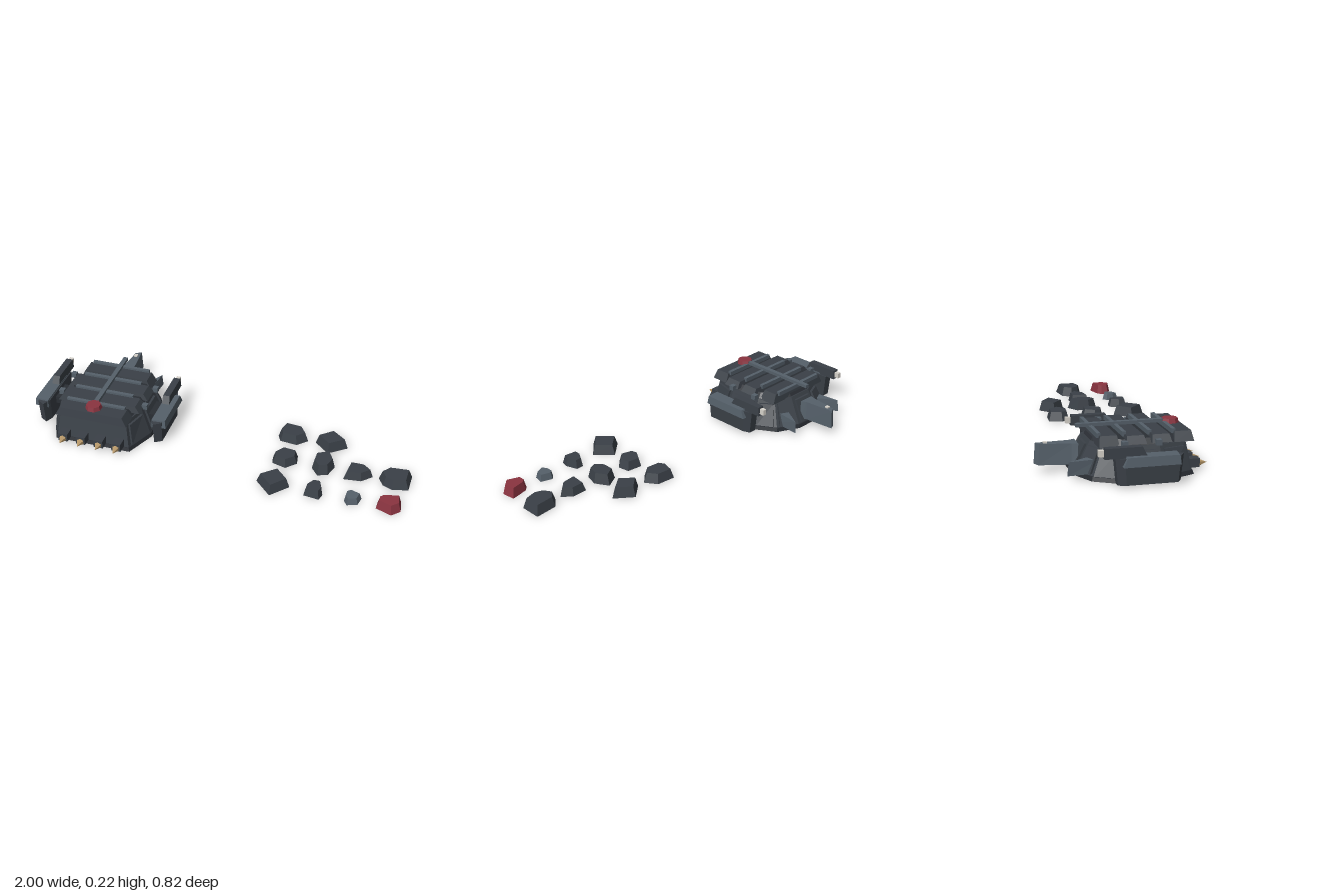
import * as THREE from 'three';

const mat = (color) => new THREE.MeshStandardMaterial({ color, flatShading: true });
const dark = mat(0x3a4047), deep = mat(0x2a2e34), steel = mat(0x55606a);
const red = mat(0x8a3440), tan = mat(0xb89868), pale = mat(0xd8d4cc);

// Closed faceted solid between two horizontal rings of [x, z] points
function loft(low, high, y0, y1) {
  const area = low.reduce((s, p, i) => {
    const q = low[(i + 1) % low.length];
    return s + p[0] * q[1] - q[0] * p[1];
  }, 0);
  if (area < 0) { low = [...low].reverse(); high = [...high].reverse(); }
  const v = [], n = low.length;
  const B = (i) => [low[i % n][0], y0, low[i % n][1]];
  const T = (i) => [high[i % n][0], y1, high[i % n][1]];
  const tri = (...p) => p.forEach((c) => v.push(...c));
  for (let i = 0; i < n; i++) {
    tri(B(i), T(i), B(i + 1));
    tri(B(i + 1), T(i), T(i + 1));
    if (i > 0 && i < n - 1) {
      tri(T(0), T(i + 1), T(i));
      tri(B(0), B(i), B(i + 1));
    }
  }
  const g = new THREE.BufferGeometry();
  g.setAttribute('position', new THREE.Float32BufferAttribute(v, 3));
  g.computeVertexNormals();
  return g;
}

const rect = (w, d, x = 0, z = 0) =>
  [[x - w / 2, z - d / 2], [x + w / 2, z - d / 2], [x + w / 2, z + d / 2], [x - w / 2, z + d / 2]];
const scaled = (pts, s) => {
  const cx = pts.reduce((a, p) => a + p[0], 0) / pts.length;
  const cz = pts.reduce((a, p) => a + p[1], 0) / pts.length;
  return pts.map(([x, z]) => [cx + (x - cx) * s, cz + (z - cz) * s]);
};

function add(parent, name, geo, material, x = 0, y = 0, z = 0) {
  const m = new THREE.Mesh(geo, material);
  m.name = name;
  m.position.set(x, y, z);
  parent.add(m);
  return m;
}
const box = (p, name, m, w, h, d, x, y, z) => add(p, name, new THREE.BoxGeometry(w, h, d), m, x, y, z);

function buildMachine() {
  const g = new THREE.Group();
  g.name = 'machine';
  const mirror = (half) => [...half, ...[...half].reverse().map(([x, z]) => [-x, z])];

  // Tapered hull with skirt and upper deck
  const base = mirror([[0.2, 0.285], [0.265, 0.13], [0.265, -0.08], [0.2, -0.19], [0.08, -0.245]]);
  const roof = mirror([[0.18, 0.255], [0.215, 0.12], [0.215, -0.06], [0.16, -0.13], [0.07, -0.17]]);
  add(g, 'hull', loft(base, roof, 0.005, 0.155), dark);
  add(g, 'skirt', loft(scaled(base, 1.02), scaled(base, 1.0), 0, 0.02), deep);
  add(g, 'upperDeck', loft(scaled(roof, 0.97), scaled(roof, 0.86), 0.155, 0.182), deep);

  // Raised armour plate on every wall except the front
  const mix = (a, b, t) => [a[0] + (b[0] - a[0]) * t, a[1] + (b[1] - a[1]) * t];
  for (let i = 0; i < base.length - 1; i++) {
    const ring = (t) => {
      const p = mix(base[i], roof[i], t), q = mix(base[i + 1], roof[i + 1], t);
      const a = mix(p, q, 0.12), b = mix(p, q, 0.88);
      const l = Math.hypot(q[0] - p[0], q[1] - p[1]);
      let nx = (q[1] - p[1]) / l, nz = -(q[0] - p[0]) / l;
      if (nx * (p[0] + q[0]) + nz * (p[1] + q[1]) < 0) { nx = -nx; nz = -nz; }
      const k = 0.012;
      return [a, b, [b[0] + nx * k, b[1] + nz * k], [a[0] + nx * k, a[1] + nz * k]];
    };
    add(g, 'wallPlate', loft(ring(0.15), ring(0.88), 0.028, 0.137), dark);
  }

  // Roof slats with a cross rib behind each, joined by the spine
  [[0.245, 0.39, 0.155], [0.13, 0.45, 0.165], [0.01, 0.45, 0.165], [-0.11, 0.4, 0.15]].forEach(([z, w, y]) => {
    add(g, 'roofSlat', loft(rect(w, 0.095, 0, z), rect(w - 0.05, 0.08, 0, z), y, 0.2), dark);
    box(g, 'crossRib', steel, 0.32, 0.022, 0.018, 0, 0.2, z - 0.042);
  });
  box(g, 'spine', steel, 0.024, 0.016, 0.49, 0, 0.213, 0.025);
  add(g, 'redHatch', new THREE.CylinderGeometry(0.038, 0.044, 0.022, 8).rotateY(Math.PI / 8), red, 0, 0.212, 0.237);

  // Row of front teeth
  for (let i = 0; i < 4; i++) {
    const x = -0.147 + i * 0.098;
    box(g, 'toothSocket', dark, 0.05, 0.042, 0.06, x, 0.042, 0.3);
    add(g, 'tooth', new THREE.ConeGeometry(0.02, 0.045, 6).rotateX(Math.PI / 2), tan, x, 0.036, 0.35);
  }

  // Tail fin
  const tail = [[-0.05, -0.22], [0.05, -0.22], [0.035, -0.25], [0.02, -0.415], [-0.015, -0.4], [-0.04, -0.25]];
  add(g, 'tailFin', loft(tail, tail.map(([x, z]) => [x * 0.85, z * 0.985]), 0.037, 0.137), steel);
  box(g, 'tailLight', pale, 0.018, 0.008, 0.018, 0, 0.141, -0.365);

  for (const s of [-1, 1]) {
    const m = (pts) => pts.map(([x, z]) => [x * s, z]);
    // Rear spike blades
    const blade = m([[0.1, -0.175], [0.165, -0.14], [0.18, -0.302]]);
    add(g, 'rearSpike', loft(blade, m([[0.105, -0.175], [0.16, -0.145], [0.178, -0.295]]), 0.025, 0.09), steel);

    // Side pod: plate, outer bar, upper barrel and light
    const pod = new THREE.Group();
    pod.name = s > 0 ? 'leftPod' : 'rightPod';
    g.add(pod);
    const foot = m([[0.285, 0.16], [0.305, 0.205], [0.345, 0.18], [0.345, -0.08], [0.33, -0.12], [0.285, -0.12]]);
    add(pod, 'podPlate', loft(scaled(foot, 0.92), foot, 0.012, 0.135), dark);
    add(pod, 'podBar', loft(m([[0.29, 0.18], [0.365, 0.175], [0.365, -0.09], [0.29, -0.09]]),
      m([[0.29, 0.175], [0.36, 0.17], [0.36, -0.07], [0.29, -0.07]]), 0.1, 0.143), steel);
    add(pod, 'podBarrel', loft(rect(0.042, 0.2, s * 0.312, -0.07), rect(0.036, 0.17, s * 0.312, -0.08), 0.135, 0.183), dark);
    box(pod, 'podLight', pale, 0.022, 0.03, 0.025, s * 0.312, 0.16, -0.182);
    box(pod, 'podArm', deep, 0.08, 0.04, 0.12, s * 0.265, 0.09, 0.03);

    // Pegs on the deck corners
    for (const [x, z] of [[0.232, 0.11], [0.232, -0.05]]) box(g, 'deckPeg', steel, 0.028, 0.026, 0.026, s * x, 0.172, z);
  }
  g.position.x = -0.635;
  return g;
}

// Rock outlines in hundredths: x, z pairs
const ROCKS = [
  [27, -7, 29, -14, 39, -13, 43, -7, 38, -2, 29, -3],
  [47, -7, 55, -14, 64, -7, 55, 0],
  [29, 12, 33, 6, 41, 7, 42, 13, 37, 18, 30, 16],
  [50, 7, 57, 3, 61, 10, 59, 17, 54, 19, 50, 14],
  [68, 8, 76, 8, 81, 12, 76, 17, 67, 18],
  [84, 12, 88, 7, 99.8, 6, 99.8, 17, 92, 19, 87, 17],
  [26, 32, 35, 24, 43, 32, 35, 41],
  [51, 32, 54, 27, 58, 27, 60, 33, 59, 37, 51, 36],
  [71, 30, 73, 28, 79, 30, 78, 35, 73, 37, 71, 34],
  [87, 31, 89, 29, 98, 27, 99, 34, 95, 38, 87, 35],
];

export function createModel() {
  const model = new THREE.Group();
  model.name = 'machineAndRocks';
  model.add(buildMachine());

  // Scattered rocks, one pale and one red
  ROCKS.forEach((flat, i) => {
    const pts = [];
    for (let k = 0; k < flat.length; k += 2) pts.push([flat[k] / 100, flat[k + 1] / 100]);
    const h = [0.05, 0.055, 0.045, 0.055, 0.045, 0.052, 0.052, 0.045, 0.035, 0.05][i];
    add(model, 'rock', loft(pts, scaled(pts, 0.78), 0, h), i === 9 ? red : i === 8 ? steel : dark);
  });
  return model;
}
